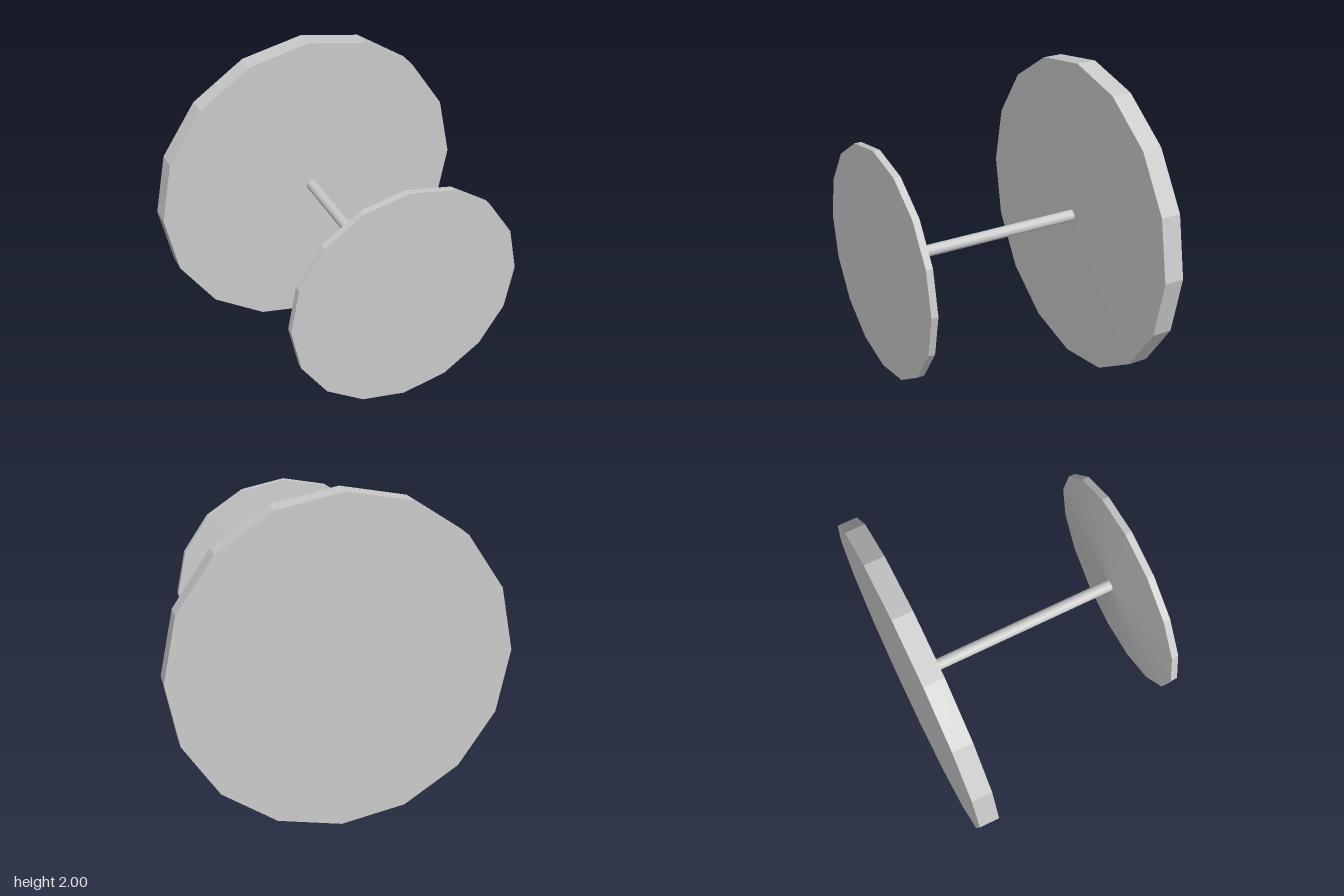
import * as THREE from 'three';

// Faceted solid turned about the z axis; profile is [radius, z] from back to front
function turned(name, profile) {
  const points = profile.map(([r, z]) => new THREE.Vector2(r, z));
  const geometry = new THREE.LatheGeometry(points, 16).rotateX(Math.PI / 2);
  const material = new THREE.MeshStandardMaterial({ color: 0xcccccc, flatShading: true });
  const mesh = new THREE.Mesh(geometry, material);
  mesh.name = name;
  mesh.position.y = 1;
  return mesh;
}

export function createModel() {
  const group = new THREE.Group();
  group.name = 'discsOnRod';

  // Large thick disc at the back, its inner face very slightly raised at the centre
  group.add(turned('backDisc', [[0, -0.725], [1, -0.725], [1, -0.602], [0, -0.599]]));

  // Thin rod joining the two discs
  group.add(turned('rod', [[0, -0.62], [0.036, -0.62], [0.036, 0.66], [0, 0.66]]));

  // Smaller front disc with a shallow cone towards the rod
  group.add(turned('frontDisc', [[0, 0.645], [0.036, 0.645], [0.71, 0.683], [0.71, 0.725], [0, 0.725]]));

  return group;
}
